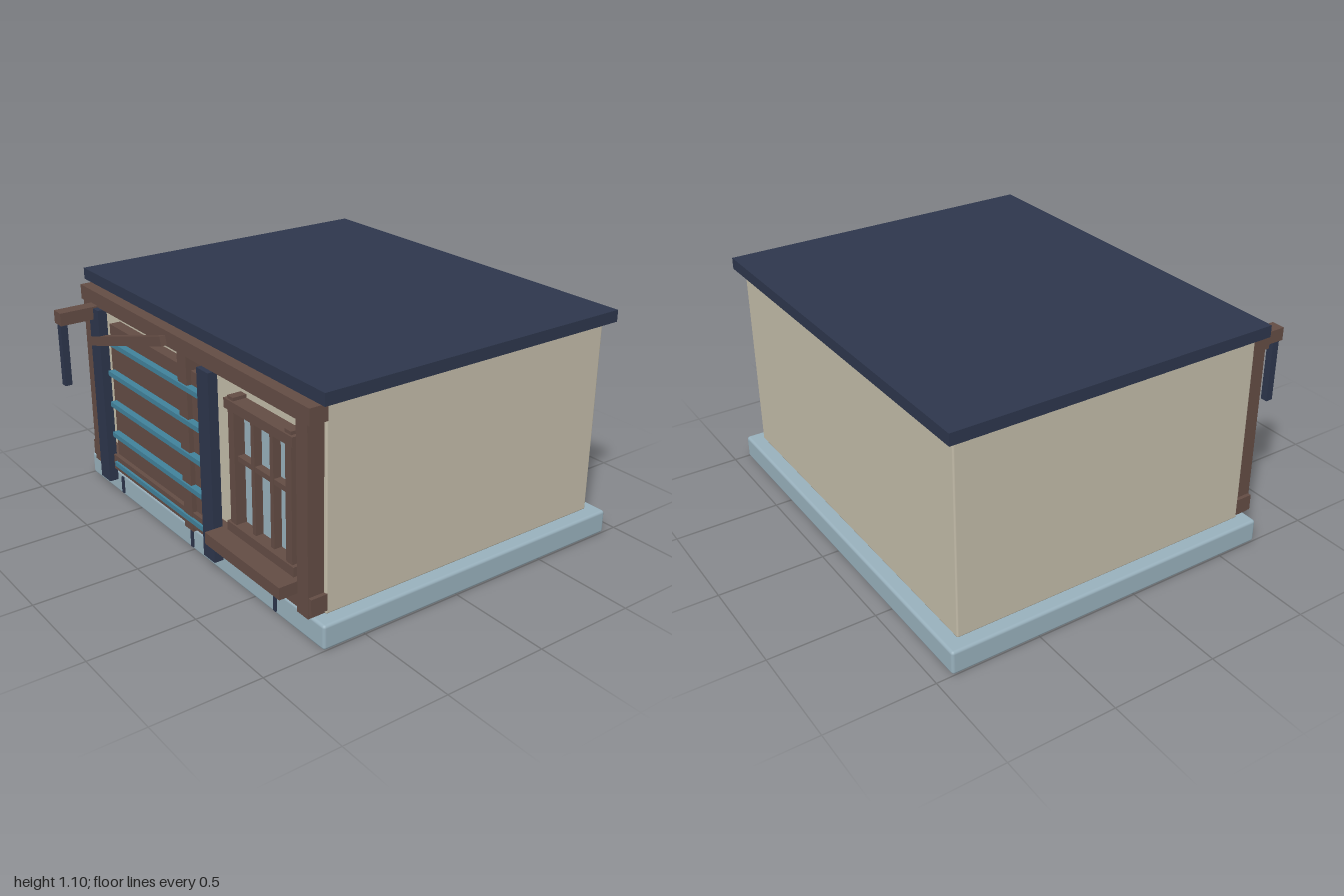
import * as THREE from 'three';
import { RoundedBoxGeometry } from 'three/addons/geometries/RoundedBoxGeometry.js';

const mat = (name, color) => {
  const m = new THREE.MeshStandardMaterial({ color });
  m.name = name;
  return m;
};

export function createModel() {
  const plaster = mat('plaster', 0xc2bba8);
  const stone = mat('paleBlueStone', 0x98b0bc);
  const wood = mat('brownWood', 0x634c44);
  const navy = mat('navy', 0x2d364c);
  const teal = mat('tealSlat', 0x41819a);
  const glass = mat('glass', 0x98b0bc);

  const model = new THREE.Group();
  model.name = 'timberBuilding';

  const group = (name) => {
    const g = new THREE.Group();
    g.name = name;
    model.add(g);
    return g;
  };

  // box given by its minimum and maximum on each axis; r rounds the edges
  const box = (parent, name, material, [x0, x1], [y0, y1], [z0, z1], r = 0) => {
    const size = [x1 - x0, y1 - y0, z1 - z0];
    const geo = r ? new RoundedBoxGeometry(...size, 2, r) : new THREE.BoxGeometry(...size);
    const mesh = new THREE.Mesh(geo, material);
    mesh.name = name;
    mesh.position.set((x0 + x1) / 2, (y0 + y1) / 2, (z0 + z1) / 2);
    parent.add(mesh);
    return mesh;
  };

  // main volumes
  box(model, 'foundation', stone, [-1, 1], [0, 0.115], [-0.925, 0.71], 0.014);
  box(model, 'walls', plaster, [-0.935, 0.935], [0.115, 1.046], [-0.86, 0.65], 0.008);
  box(model, 'roof', navy, [-0.978, 0.978], [1.045, 1.1], [-0.9, 0.69]);

  // joints in the foundation front
  const joints = group('foundationJoints');
  for (const x of [-0.665, 0, 0.665])
    box(joints, 'joint', navy, [x - 0.009, x + 0.009], [0.018, 0.104], [0.69, 0.718]);

  // timber frame on the front
  const frame = group('timberFrame');
  box(frame, 'topBeam', wood, [-0.938, 0.938], [0.963, 1.035], [0.645, 0.732]);
  box(frame, 'bottomBeam', wood, [-0.938, 0.938], [0.135, 0.212], [0.645, 0.726]);
  for (const x of [-0.883, 0, 0.883])
    box(frame, 'post', wood, [x - 0.037, x + 0.037], [0.115, 0.97], [0.645, 0.729]);

  // slatted door
  const door = group('door');
  box(door, 'doorPanel', wood, [-0.71, 0.16], [0.12, 0.892], [0.645, 0.705]);
  for (let i = 0; i < 5; i++) {
    const y = 0.175 + i * 0.16;
    box(door, 'slat', teal, [-0.69, 0.135], [y - 0.012, y + 0.012], [0.69, 0.738]);
  }

  // dark pillars beside the door
  for (const x of [-0.765, 0.217])
    box(model, 'pillar', navy, [x - 0.045, x + 0.045], [0.07, 0.963], [0.711, 0.757]);

  // diagonal brace
  const a = new THREE.Vector2(-0.82, 0.784), b = new THREE.Vector2(-0.118, 0.99);
  const half = a.distanceTo(b) / 2;
  const brace = box(model, 'diagonalBrace', wood, [-half, half], [-0.022, 0.022], [0.725, 0.761]);
  brace.position.x = (a.x + b.x) / 2;
  brace.position.y = (a.y + b.y) / 2;
  brace.rotation.z = Math.atan2(b.y - a.y, b.x - a.x);

  // projecting bracket with its hanging banner
  const bracket = group('hangingBracket');
  box(bracket, 'bracketArm', wood, [-0.835, -0.768], [0.908, 0.97], [0.715, 0.925]);
  box(bracket, 'hangingBanner', navy, [-0.82, -0.785], [0.6, 0.91], [0.885, 0.92]);

  // window with three columns and two rows of panes
  const win = group('window');
  box(win, 'windowGlass', glass, [0.365, 0.775], [0.28, 0.845], [0.655, 0.664]);
  for (const x of [0.365, 0.775])
    box(win, 'jamb', wood, [x - 0.021, x + 0.021], [0.255, 0.886], [0.645, 0.716]);
  for (const y of [0.278, 0.849])
    box(win, 'rail', wood, [0.325, 0.815], [y - 0.022, y + 0.022], [0.645, 0.724]);
  for (const x of [0.502, 0.638])
    box(win, 'verticalBar', wood, [x - 0.012, x + 0.012], [0.28, 0.845], [0.645, 0.702]);
  box(win, 'crossBar', wood, [0.365, 0.775], [0.597, 0.621], [0.645, 0.7]);
  box(win, 'windowSill', wood, [0.29, 0.848], [0.2, 0.256], [0.645, 0.817]);

  return model;
}
